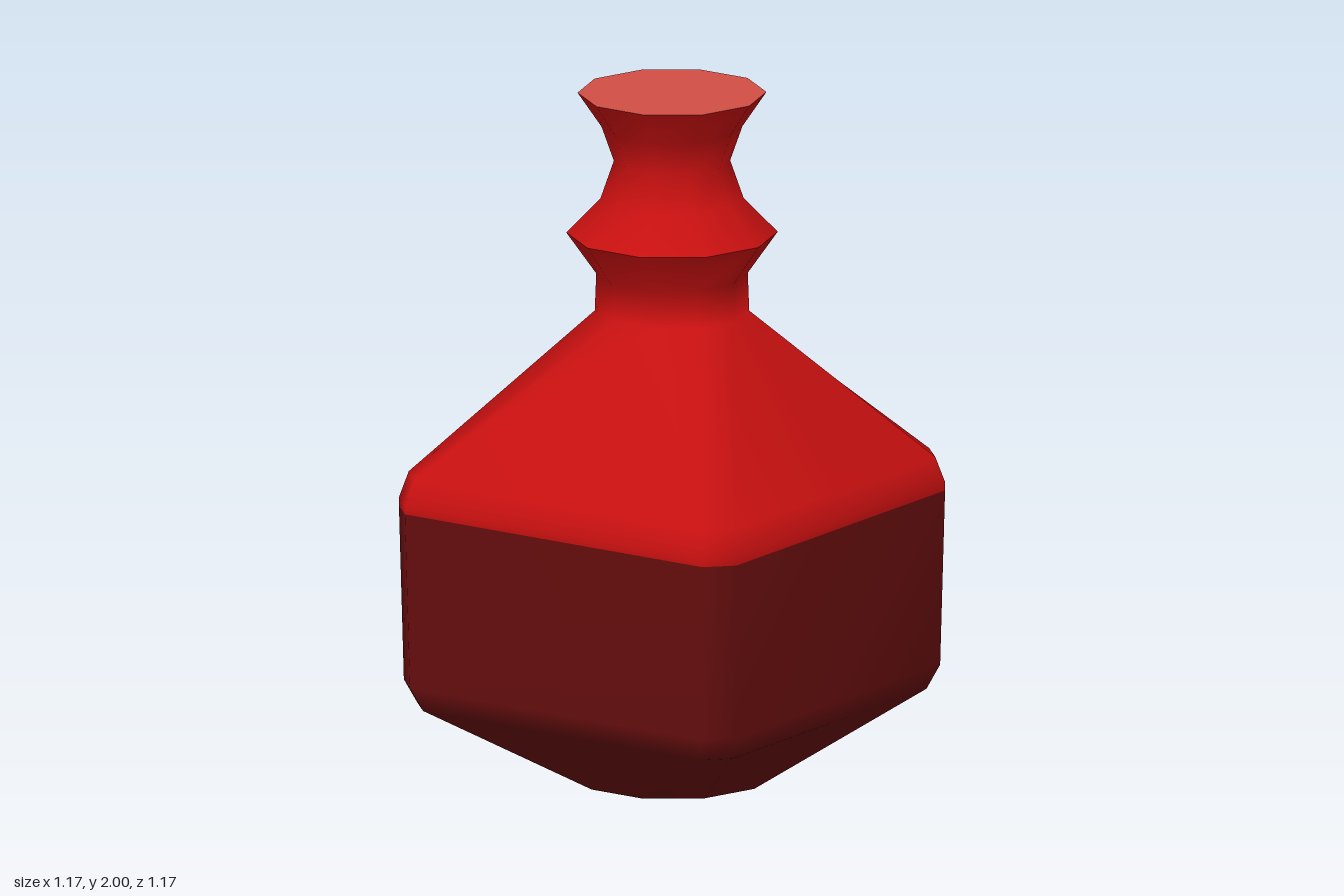
import * as THREE from 'three';

const SIDES = 10;

// Ring from one quarter of its outline: side point, corner point, face point; mirrored to ten points.
function ring(y, [sx], [cx, cz], [fx, fz]) {
  return [
    [sx, 0], [cx, cz], [fx, fz], [-fx, fz], [-cx, cz],
    [-sx, 0], [-cx, -cz], [-fx, -fz], [fx, -fz], [cx, -cz],
  ].map(([x, z]) => [x, y, z]);
}

// Regular ten-sided ring
function round(y, r) {
  const p = (i) => [r * Math.cos(i * Math.PI / 5), r * Math.sin(i * Math.PI / 5)];
  return ring(y, [r], p(1), p(2));
}

// Square ring with clipped corners
const square = (y, half, clip) => ring(y, [half], [half, clip], [clip, half]);

// Smooth skin over stacked rings; slots gives the material index of each band.
function loft(rings, slots) {
  const geometry = new THREE.BufferGeometry();
  geometry.setAttribute('position', new THREE.Float32BufferAttribute(rings.flat(2), 3));
  const index = [];
  for (let row = 0; row < rings.length - 1; row++) {
    geometry.addGroup(index.length, SIDES * 6, slots[row]);
    for (let i = 0; i < SIDES; i++) {
      const a = row * SIDES + i;
      const b = row * SIDES + (i + 1) % SIDES;
      index.push(a, a + SIDES, b, b, a + SIDES, b + SIDES);
    }
  }
  geometry.setIndex(index);
  geometry.computeVertexNormals();
  return geometry;
}

export function createModel() {
  const group = new THREE.Group();
  const material = (name, color) => {
    const m = new THREE.MeshStandardMaterial({ color });
    m.name = name;
    return m;
  };
  const red = material('red glass', 0xc81010);
  const dark = material('dark red liquid', 0x680e0e);
  const pale = material('pale red stopper', 0xd04e45);

  const add = (name, geometry, mat) => {
    const mesh = new THREE.Mesh(geometry, mat);
    mesh.name = name;
    group.add(mesh);
    return mesh;
  };

  // Body: dark filled lower part, red shoulder and lower neck
  add('body', loft([
    round(0, 0.285),
    square(0.23, 0.545, 0.48),
    square(0.3, 0.575, 0.505),
    square(0.81, 0.585, 0.515),
    square(0.835, 0.585, 0.515),
    square(0.91, 0.565, 0.495),
    ring(1.36, [0.22], [0.18, 0.125], [0.07, 0.188]),
    round(1.47, 0.215),
    round(1.59, 0.3),
  ], [0, 0, 0, 1, 1, 1, 1, 1]), [dark, red]);

  // Upper neck, with a sharp edge where it meets the collar
  add('neck', loft([
    round(1.59, 0.3),
    round(1.69, 0.203),
    round(1.8, 0.165),
    round(1.9, 0.2),
    round(2, 0.268),
  ], [0, 0, 0, 0]), [red]);

  // Flat ends
  const top = add('stopper', new THREE.CircleGeometry(0.268, SIDES), pale);
  top.rotation.x = -Math.PI / 2;
  top.position.y = 2;
  const base = add('base', new THREE.CircleGeometry(0.285, SIDES), dark);
  base.rotation.x = Math.PI / 2;

  return group;
}
